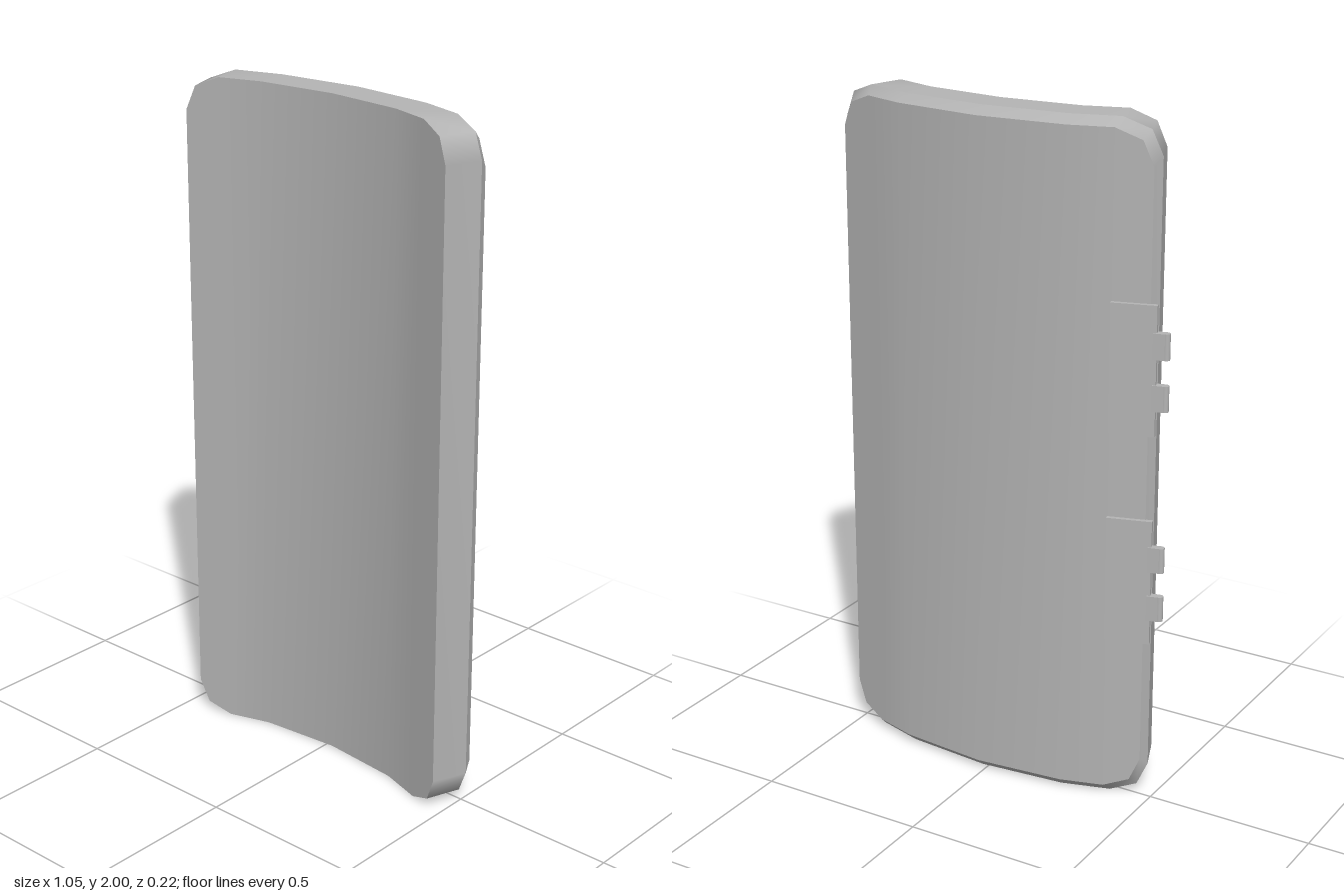
import * as THREE from 'three';

const CENTRE_X = 0.02;
// Column stops across the half width, and how far each stop's end drops from the rim
const STOPS = [0, 0.52, 0.79, 0.94, 1];
const DROPS = [0, 0, 0, 0.03, 0.1];

// One outline layer of the curved panel: half width, bend position, and z at centre, bend and edge
function layer(half, bend, zCentre, zBend, zEdge, inset) {
  const columns = [];
  for (let i = -4; i <= 4; i++) {
    const k = Math.abs(i);
    const x = k === 1 ? bend : STOPS[k] * half;
    const z = x <= bend
      ? THREE.MathUtils.lerp(zCentre, zBend, x / bend)
      : THREE.MathUtils.lerp(zBend, zEdge, (x - bend) / (half - bend));
    const y = inset + DROPS[k];
    columns.push({ x: CENTRE_X + Math.sign(i) * x, z, low: y, high: 2 - y });
  }
  return columns;
}

const lowRow = (cols) => cols.map((c) => [c.x, c.low, c.z]);
const highRow = (cols) => cols.map((c) => [c.x, c.high, c.z]);
// Closed outline, counter-clockwise seen from the front
const outline = (cols) => [...lowRow(cols), ...highRow(cols).reverse()];

// Smooth strip of quads between two rows of points
function strip(a, b, closed) {
  const n = a.length;
  const index = [];
  for (let i = 0; i < (closed ? n : n - 1); i++) {
    const j = (i + 1) % n;
    index.push(i, j, n + j, i, n + j, n + i);
  }
  const g = new THREE.BufferGeometry();
  g.setAttribute('position', new THREE.Float32BufferAttribute([...a, ...b].flat(), 3));
  g.setIndex(index);
  g.computeVertexNormals();
  return g;
}

export function createModel() {
  const model = new THREE.Group();
  model.name = 'curvedDoor';
  const metal = new THREE.MeshStandardMaterial({ color: 0xb4b4b4 });
  metal.name = 'grey metal';

  const add = (parent, name, geometry) => {
    const mesh = new THREE.Mesh(geometry, metal);
    mesh.name = name;
    parent.add(mesh);
    return mesh;
  };

  // Curved panel: concave front, rim, bevel and convex back
  const panel = new THREE.Group();
  panel.name = 'panel';
  model.add(panel);
  const front = layer(0.463, 0.24, 0.018, 0.04, 0.11, 0);
  const middle = layer(0.503, 0.257, -0.088, -0.064, 0.01, 0);
  const back = layer(0.492, 0.264, -0.114, -0.088, -0.02, 0.025);
  add(panel, 'frontFace', strip(lowRow(front), highRow(front), false));
  add(panel, 'rim', strip(outline(middle), outline(front), true));
  add(panel, 'backBevel', strip(outline(back), outline(middle), true));
  add(panel, 'backFace', strip(highRow(back), lowRow(back), false));

  // Two hinges on the right edge, each a leaf with two round-ended knuckles
  for (const [name, y, knuckleY] of [['lowerHinge', 0.69, 0.69], ['upperHinge', 1.315, 1.315]]) {
    const hinge = new THREE.Group();
    hinge.name = name;
    model.add(hinge);
    const leaf = add(hinge, 'hingeLeaf', new THREE.BoxGeometry(0.13, 0.375, 0.015));
    leaf.position.set(-0.431, y, -0.038);
    leaf.rotation.y = 0.29;
    for (const side of [-1, 1]) {
      const ky = knuckleY + side * 0.074;
      const pin = add(hinge, 'knuckleEnd', new THREE.CylinderGeometry(0.011, 0.011, 0.075, 16));
      pin.position.set(-0.519, ky, -0.015);
      const tab = add(hinge, 'knuckleTab', new THREE.BoxGeometry(0.036, 0.075, 0.022));
      tab.position.set(-0.502, ky, -0.019);
      tab.rotation.y = 0.25;
    }
  }
  return model;
}
